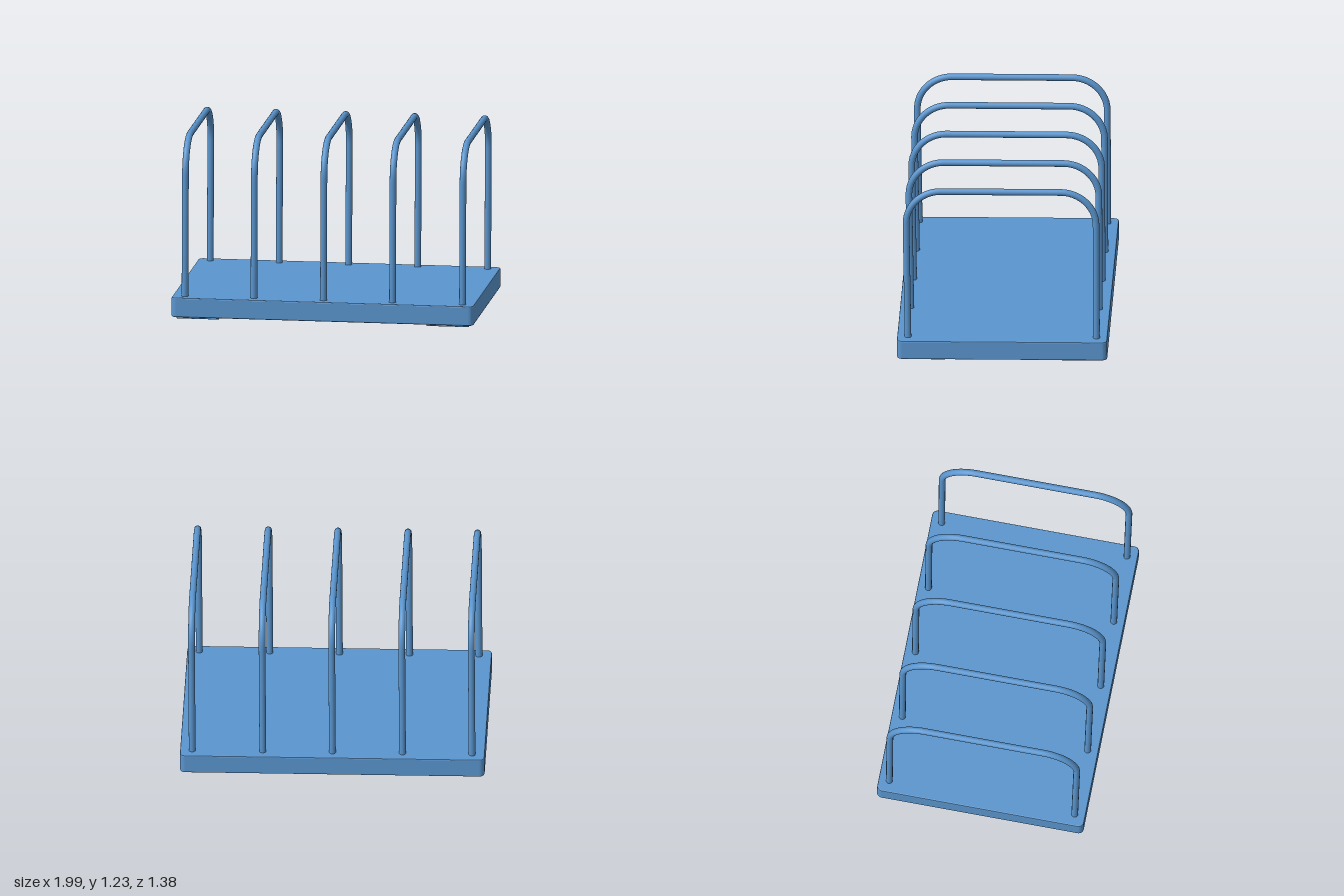
import * as THREE from 'three';

const blue = new THREE.MeshStandardMaterial({ color: 0x5a95ce });
blue.name = 'blue';

// Horizontal slab extruded upward from a plan outline, with a softened edge
function slab(shape, y, height, bevel) {
  const g = new THREE.ExtrudeGeometry(shape, {
    depth: height - 2 * bevel, bevelThickness: bevel, bevelSize: bevel,
    bevelOffset: -bevel, bevelSegments: 2, curveSegments: 6,
  });
  g.rotateX(-Math.PI / 2);
  g.translate(0, y + bevel, 0);
  return g;
}

function roundedRect(w, d, r) {
  const s = new THREE.Shape();
  s.absarc(w - r, d - r, r, 0, Math.PI / 2);
  s.absarc(-w + r, d - r, r, Math.PI / 2, Math.PI);
  s.absarc(-w + r, -d + r, r, Math.PI, Math.PI * 1.5);
  s.absarc(w - r, -d + r, r, Math.PI * 1.5, Math.PI * 2);
  s.closePath();
  return s;
}

// Arch path: leg, quarter bend, top bar, quarter bend, leg
function archPath() {
  const foot = 0.617, side = 0.622, top = 1.197, bend = 0.23, k = bend * 0.45;
  const v = (y, z) => new THREE.Vector3(0, y, z);
  const path = new THREE.CurvePath();
  path.add(new THREE.LineCurve3(v(0.12, foot), v(top - bend, side)));
  path.add(new THREE.CubicBezierCurve3(v(top - bend, side), v(top - k, side),
    v(top, side - k), v(top, side - bend)));
  path.add(new THREE.LineCurve3(v(top, side - bend), v(top, bend - side)));
  path.add(new THREE.CubicBezierCurve3(v(top, bend - side), v(top, k - side),
    v(top - k, -side), v(top - bend, -side)));
  path.add(new THREE.LineCurve3(v(top - bend, -side), v(0.12, -foot)));
  return path;
}

export function createModel() {
  const model = new THREE.Group();
  model.name = 'rack';
  const add = (geometry, name) => {
    const mesh = new THREE.Mesh(geometry, blue);
    mesh.name = name;
    model.add(mesh);
    return mesh;
  };

  // Base plate
  add(slab(roundedRect(0.997, 0.688, 0.035), 0.027, 0.13, 0.008), 'base');

  // Five wire arches
  const archGeometry = new THREE.TubeGeometry(archPath(), 120, 0.022, 14, false);
  [-0.914, -0.459, 0, 0.456, 0.918].forEach((x, i) => {
    add(archGeometry, 'arch' + (i + 1)).position.x = x;
  });

  // L-shaped corner feet
  for (const sx of [-1, 1]) for (const sz of [-1, 1]) {
    const x0 = 0.965, z0 = 0.655, arm = 0.28, t = 0.04;
    const pts = [[x0, z0], [x0 - arm, z0], [x0 - arm, z0 - t], [x0 - t, z0 - t],
      [x0 - t, z0 - arm], [x0, z0 - arm]];
    const shape = new THREE.Shape(pts.map(([x, z]) => new THREE.Vector2(sx * x, sz * z)));
    add(slab(shape, 0.013, 0.018, 0.004), 'cornerFoot');
  }

  // The rack sits with a very slight lean
  model.rotation.set(0.0095, 0, -0.006);
  const root = new THREE.Group();
  root.add(model);
  return root;
}
